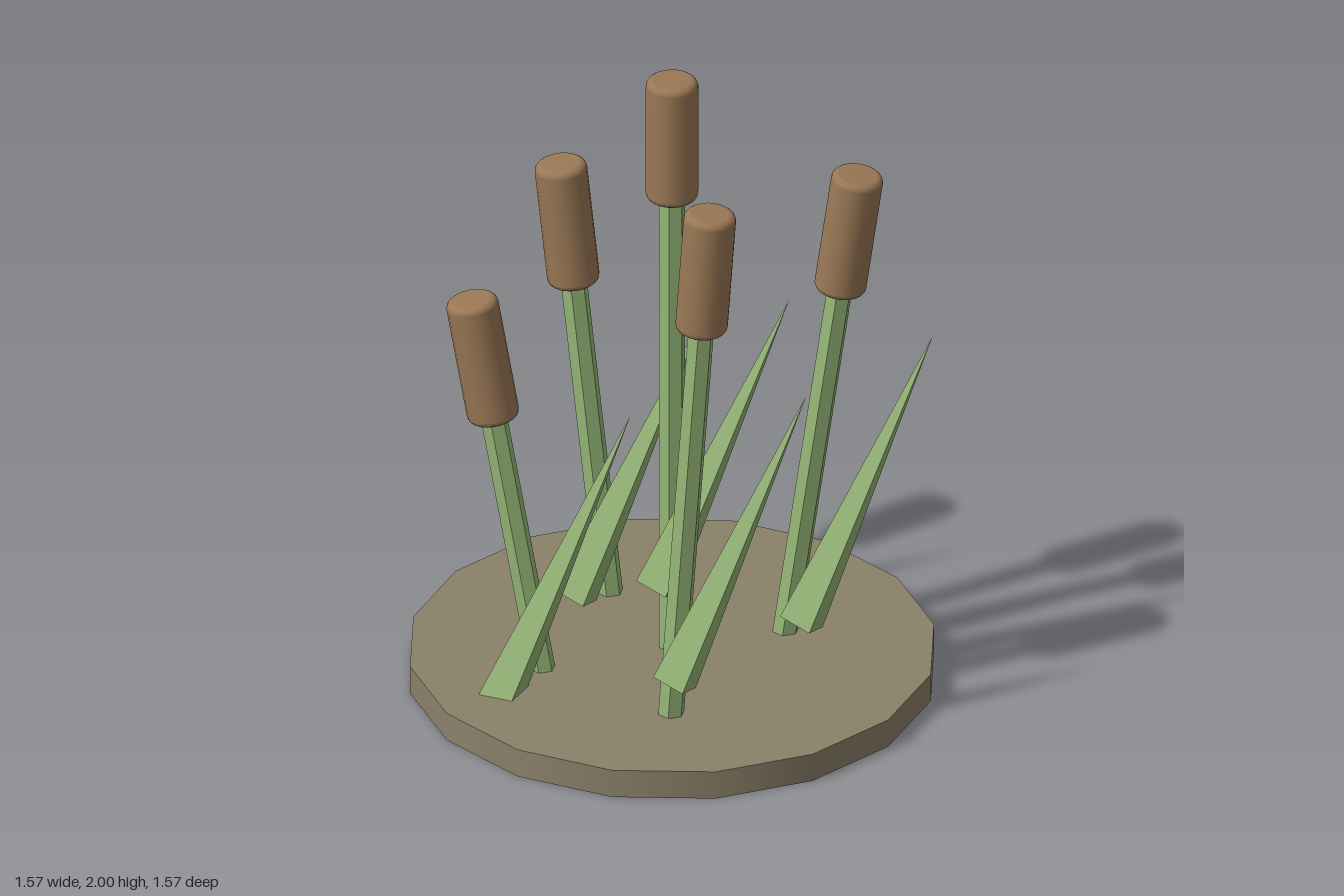
import * as THREE from 'three';

const mat = (color, flatShading = false) =>
  new THREE.MeshStandardMaterial({ color, flatShading });

export function createModel() {
  const model = new THREE.Group();
  model.name = 'reedClump';

  const soil = mat(0x8b816a);
  const green = mat(0x96b878, true);
  const brown = mat(0x9a7855);

  const add = (parent, name, geometry, material) => {
    const mesh = new THREE.Mesh(geometry, material);
    mesh.name = name;
    parent.add(mesh);
    return mesh;
  };

  // Round ground disc
  const groundTop = 0.09;
  add(model, 'ground', new THREE.CylinderGeometry(0.785, 0.785, groundTop, 16), soil)
    .position.y = groundTop / 2;

  // Seed head: cylinder with rounded rims, running from y = 0 to headLength
  const headLength = 0.4, headRadius = 0.078, rim = 0.022;
  const profile = [new THREE.Vector2(0, 0)];
  for (const [cy, start] of [[rim, -Math.PI / 2], [headLength - rim, 0]]) {
    for (let i = 0; i <= 4; i++) {
      const a = start + (i / 4) * (Math.PI / 2);
      profile.push(new THREE.Vector2(headRadius - rim + rim * Math.cos(a), cy + rim * Math.sin(a)));
    }
  }
  profile.push(new THREE.Vector2(0, headLength));
  const headGeometry = new THREE.LatheGeometry(profile, 20);

  // Reeds: foot x, foot z, length, lean towards +x in degrees
  const reeds = [
    [0, 0, 1.91, 0],
    [0.09, 0.4, 1.704, 4],
    [0.305, -0.17, 1.58, 8],
    [-0.255, -0.285, 1.435, -6],
    [-0.345, 0.215, 1.235, -10],
  ];
  for (const [x, z, length, lean] of reeds) {
    const reed = new THREE.Group();
    reed.name = 'reed';
    reed.position.set(x, groundTop, z);
    reed.rotation.z = -THREE.MathUtils.degToRad(lean);
    const sunk = 0.04;
    const stemTop = length - headLength + 0.05;
    add(reed, 'stem', new THREE.CylinderGeometry(0.04, 0.04, stemTop + sunk, 6), green)
      .position.y = (stemTop - sunk) / 2;
    add(reed, 'seedHead', headGeometry, brown).position.y = length - headLength;
    model.add(reed);
  }

  // Leaves: slanted four-sided spikes, all leaning the same way
  const slant = new THREE.Vector3(0.352, 0.9, -0.203);
  const leafLength = slant.length();
  const leafGeometry = new THREE.ConeGeometry(0.073, leafLength, 4);
  leafGeometry.rotateY(Math.PI / 4 - 0.23);
  leafGeometry.translate(0, -leafLength / 2, 0); // pivot at the tip
  const leafTips = [
    [0.347, 1.28, -0.035],
    [0.492, 1.19, 0.37],
    [0.745, 1.12, -0.2],
    [-0.083, 0.955, 0.185],
    [0.032, 1.06, -0.315],
  ];
  for (const tip of leafTips) {
    const leaf = add(model, 'leaf', leafGeometry, green);
    leaf.position.set(...tip);
    leaf.quaternion.setFromUnitVectors(new THREE.Vector3(0, 1, 0), slant.clone().normalize());
  }

  return model;
}
